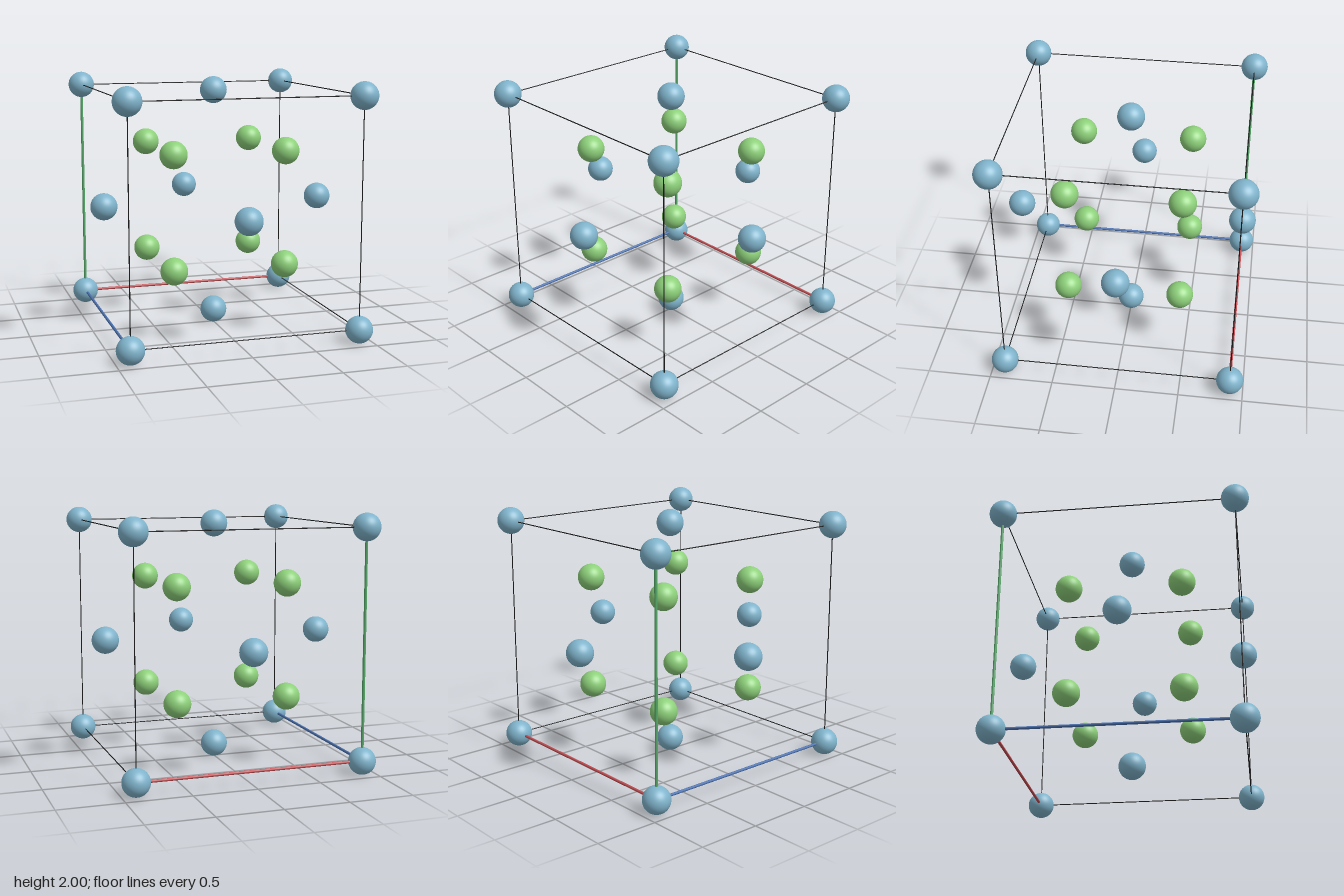
import * as THREE from 'three';

const H = 0.894;   // half the cell edge
const R = 0.106;   // ball radius
const CY = 1;      // height of the cell centre

function material(name, color) {
  const m = new THREE.MeshStandardMaterial({ color });
  m.name = name;
  return m;
}

export function createModel() {
  const group = new THREE.Group();
  group.name = 'cubicLattice';

  const blue = material('steel blue', 0x7fb3cb);
  const green = material('leaf green', 0x8dd07a);
  const black = material('frame black', 0x1a1a1a);
  const axisMaterials = [
    material('axis red', 0xc44e52),
    material('axis green', 0x55a868),
    material('axis blue', 0x4c72b0),
  ];

  const ball = new THREE.SphereGeometry(R, 40, 28);
  const thinRod = new THREE.CylinderGeometry(0.004, 0.004, 2 * H, 8);
  const axisRod = new THREE.CylinderGeometry(0.011, 0.011, 2 * H, 16);

  const add = (name, geometry, mat, p) => {
    const mesh = new THREE.Mesh(geometry, mat);
    mesh.name = name;
    mesh.position.set(p[0], p[1] + CY, p[2]);
    group.add(mesh);
    return mesh;
  };

  // Corner balls, and the inner balls halfway to each corner
  for (const x of [-1, 1]) for (const y of [-1, 1]) for (const z of [-1, 1]) {
    add('cornerBall', ball, blue, [x * H, y * H, z * H]);
    add('innerBall', ball, green, [x * H / 2, y * H / 2, z * H / 2]);
  }

  for (let axis = 0; axis < 3; axis++) {
    // Balls at the centres of the two opposite faces
    for (const s of [-1, 1]) {
      const p = [0, 0, 0];
      p[axis] = s * H;
      add('faceBall', ball, blue, p);
    }
    // Four parallel edges: the one through the origin corner is a coloured axis
    for (const u of [-1, 1]) for (const v of [-1, 1]) {
      const p = [0, 0, 0];
      p[(axis + 1) % 3] = u * H;
      p[(axis + 2) % 3] = v * H;
      const isAxis = u < 0 && v < 0;
      const rod = isAxis
        ? add('axisRod', axisRod, axisMaterials[axis], p)
        : add('frameEdge', thinRod, black, p);
      if (axis === 0) rod.rotation.z = -Math.PI / 2;
      if (axis === 2) rod.rotation.x = Math.PI / 2;
    }
  }
  return group;
}
